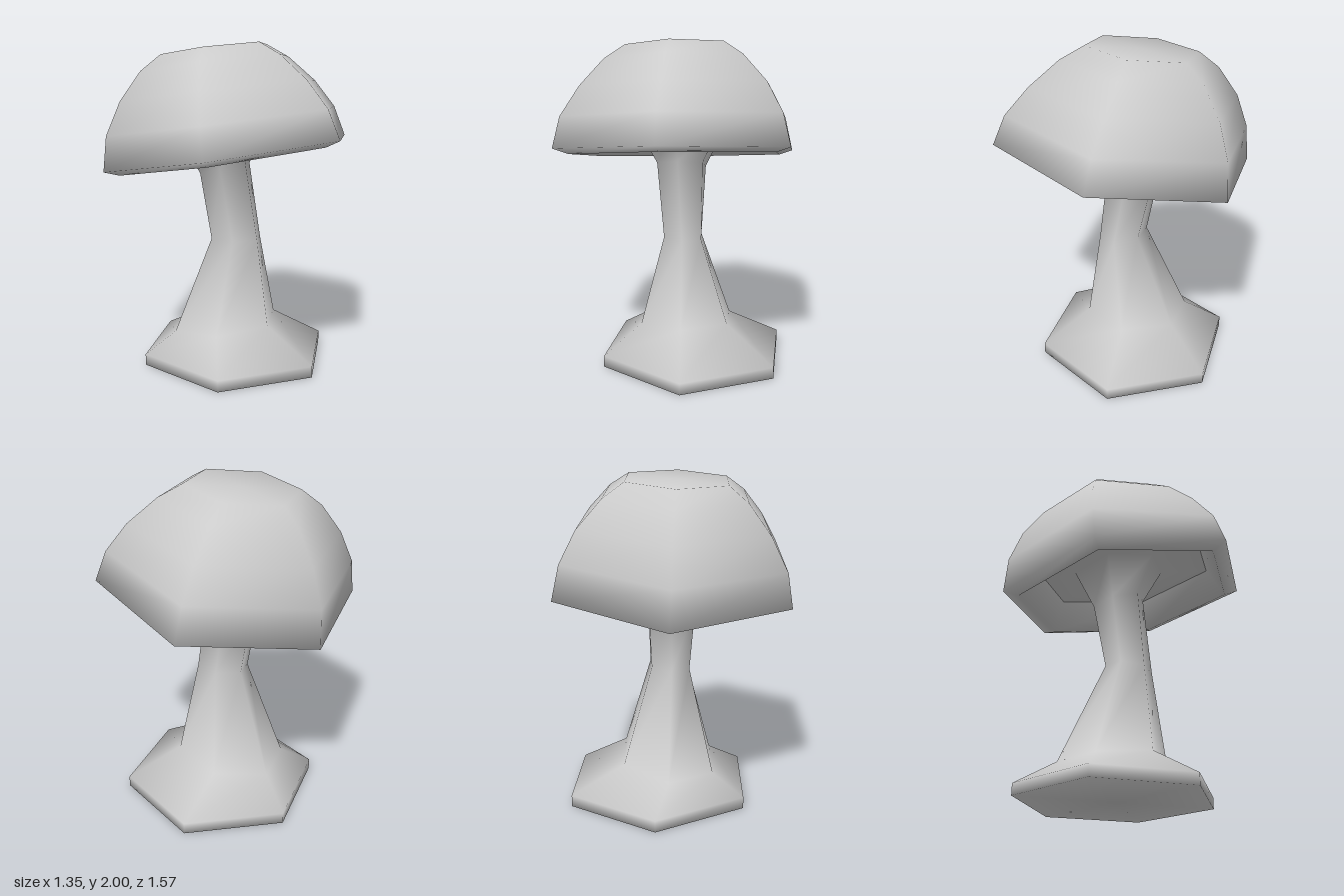
import * as THREE from 'three';

const SIDES = 6;

// Smooth normals, each face weighted by its corner angle
function smoothNormals(geometry) {
  const p = geometry.attributes.position, index = geometry.index.array;
  const normals = Array.from({ length: p.count }, () => new THREE.Vector3());
  for (let t = 0; t < index.length; t += 3) {
    const ids = [index[t], index[t + 1], index[t + 2]];
    const v = ids.map((i) => new THREE.Vector3().fromBufferAttribute(p, i));
    const face = new THREE.Triangle(...v).getNormal(new THREE.Vector3());
    ids.forEach((id, k) => {
      const e = v[(k + 1) % 3].clone().sub(v[k]), f = v[(k + 2) % 3].clone().sub(v[k]);
      normals[id].addScaledVector(face, e.angleTo(f));
    });
  }
  const flat = normals.flatMap((n) => n.normalize().toArray());
  geometry.setAttribute('normal', new THREE.Float32BufferAttribute(flat, 3));
}

// Lofts tilted hexagons into a smooth skin.
// ring: [centre x, centre y, centre z, radius x, radius z, slope along x, slope along z]
function loft(name, rings, material, capStart, capEnd) {
  const pos = [], index = [];
  for (const [cx, cy, cz, rx, rz, sx, sz] of rings) {
    for (let i = 0; i < SIDES; i++) {
      const a = (i / SIDES) * Math.PI * 2;
      const dx = Math.sin(a) * rx, dz = Math.cos(a) * rz;
      pos.push(cx + dx, cy + sx * dx + sz * dz, cz + dz);
    }
  }
  for (let j = 0; j < rings.length - 1; j++) {
    for (let i = 0; i < SIDES; i++) {
      const a = j * SIDES + i, b = j * SIDES + (i + 1) % SIDES;
      const c = a + SIDES, d = b + SIDES;
      index.push(a, b, d, a, d, c);
    }
  }
  const close = (j, up) => {
    const centre = pos.length / 3;
    pos.push(...rings[j].slice(0, 3));
    for (let i = 0; i < SIDES; i++) {
      const a = j * SIDES + i, b = j * SIDES + (i + 1) % SIDES;
      index.push(centre, up ? a : b, up ? b : a);
    }
  };
  if (capStart) close(0, false);
  if (capEnd) close(rings.length - 1, true);
  const geometry = new THREE.BufferGeometry();
  geometry.setAttribute('position', new THREE.Float32BufferAttribute(pos, 3));
  geometry.setIndex(index);
  smoothNormals(geometry);
  const mesh = new THREE.Mesh(geometry, material);
  mesh.name = name;
  return mesh;
}

export function createModel() {
  const group = new THREE.Group();
  group.name = 'mushroom';
  const material = new THREE.MeshStandardMaterial({ color: 0xcccccc, side: THREE.DoubleSide });

  // Outer corner of the hollow under the cap, shared by both parts
  const hollow = [-0.01, 1.5, -0.01, 0.58, 0.58, 0.15, 0.05];

  // Spreading foot, narrow waist, and flare running into the ceiling of the hollow
  group.add(loft('stem', [
    [0.017, 0, -0.095, 0.606, 0.606, 0, 0],
    [0.017, 0.07, -0.095, 0.606, 0.606, 0, 0],
    [-0.045, 0.23, -0.065, 0.341, 0.307, 0.127, 0],
    [0.033, 0.805, -0.01, 0.165, 0.125, 0, 0],
    [-0.04, 1.24, -0.03, 0.162, 0.162, 0.25, 0.12],
    [-0.04, 1.47, -0.03, 0.29, 0.29, 0.16, 0.055],
    hollow,
  ], material, true, false));

  // Wall of the hollow, lip and domed top
  group.add(loft('cap', [
    hollow,
    [0, 1.31, 0, 0.69, 0.69, 0.16, 0.055],
    [0, 1.34, 0, 0.782, 0.785, 0.155, 0.057],
    [-0.03, 1.535, -0.008, 0.735, 0.737, 0.135, 0.04],
    [-0.06, 1.715, -0.025, 0.626, 0.626, 0.12, 0.033],
    [-0.09, 1.875, -0.03, 0.472, 0.472, 0.12, 0.03],
    [-0.1, 1.96, -0.03, 0.338, 0.338, 0.12, 0.03],
  ], material, false, true));

  return group;
}
